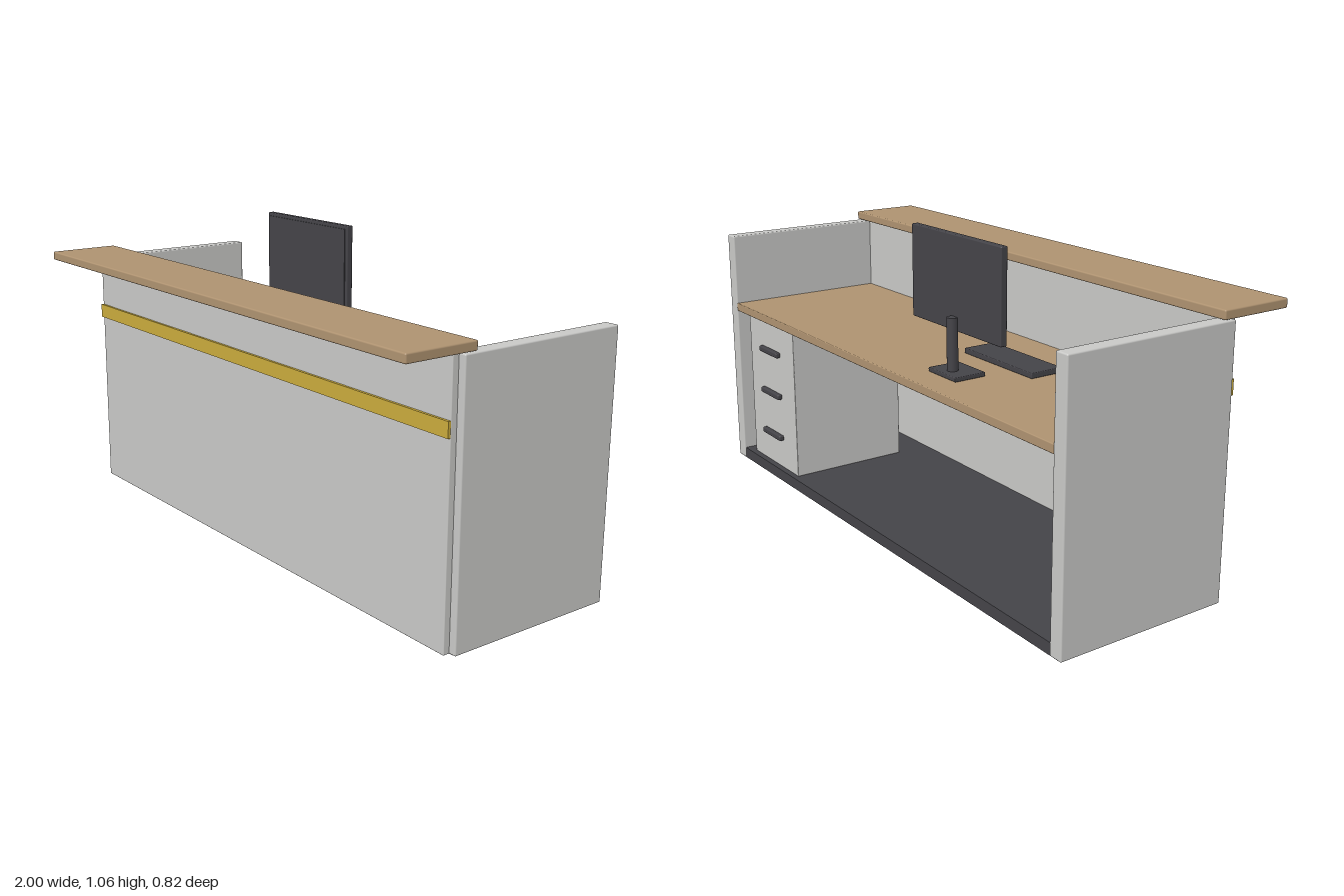
import * as THREE from 'three';
import { RoundedBoxGeometry } from 'three/addons/geometries/RoundedBoxGeometry.js';

const material = (name, color) => {
  const m = new THREE.MeshStandardMaterial({ color });
  m.name = name;
  return m;
};

export function createModel() {
  const grey = material('light grey laminate', 0xc8c8c6);
  const wood = material('wood', 0xae9270);
  const dark = material('charcoal', 0x444348);
  const gold = material('gold', 0xc9aa3c);

  const model = new THREE.Group();
  model.name = 'receptionDesk';

  const add = (name, geometry, mat, x, y, z, parent = model) => {
    const mesh = new THREE.Mesh(geometry, mat);
    mesh.name = name;
    mesh.position.set(x, y, z);
    parent.add(mesh);
    return mesh;
  };

  // Box given by its limits along each axis, with an optional softened edge
  const block = (name, mat, [x0, x1], [y0, y1], [z0, z1], radius = 0, parent = model) => {
    const size = [x1 - x0, y1 - y0, z1 - z0];
    const geometry = radius ? new RoundedBoxGeometry(...size, 2, radius) : new THREE.BoxGeometry(...size);
    return add(name, geometry, mat, (x0 + x1) / 2, (y0 + y1) / 2, (z0 + z1) / 2, parent);
  };

  // Carcass: floor plinth, two side panels, front panel with its gold strip
  block('basePlinth', dark, [-0.985, 0.985], [0, 0.04], [-0.405, 0.195]);
  block('leftSidePanel', grey, [0.95, 1], [0.002, 0.877], [-0.41, 0.2], 0.005);
  block('rightSidePanel', grey, [-1, -0.95], [0.002, 0.877], [-0.41, 0.2], 0.005);
  block('frontPanel', grey, [-0.975, 0.975], [0.002, 0.88], [0.18, 0.222], 0.003);
  block('goldStrip', gold, [-0.975, 0.975], [0.643, 0.692], [0.222, 0.231]);

  // Work surface and raised visitor counter
  block('workSurface', wood, [-0.95, 0.95], [0.593, 0.622], [-0.41, 0.18], 0.003);
  block('visitorCounter', wood, [-1, 1], [0.88, 0.91], [0.155, 0.41], 0.005);

  // Drawer cabinet with three bar handles
  const cabinet = new THREE.Group();
  cabinet.name = 'drawerCabinet';
  model.add(cabinet);
  block('cabinetBody', grey, [0.555, 0.9], [0.04, 0.593], [-0.385, 0.055], 0.003, cabinet);
  for (const y of [0.16, 0.32, 0.48]) {
    block('drawerHandle', dark, [0.658, 0.796], [y - 0.01, y + 0.01], [-0.403, -0.384], 0.005, cabinet);
  }

  // Monitor on its stand
  const monitor = new THREE.Group();
  monitor.name = 'monitor';
  model.add(monitor);
  block('monitorCase', dark, [-0.52, -0.05], [0.76, 1.058], [-0.263, -0.239], 0.004, monitor);
  block('monitorScreen', dark, [-0.508, -0.062], [0.772, 1.046], [-0.24, -0.236], 0, monitor);
  block('standFoot', dark, [-0.36, -0.213], [0.622, 0.636], [-0.313, -0.2], 0.003, monitor);
  add('standPole', new THREE.CylinderGeometry(0.018, 0.018, 0.17, 16), dark, -0.286, 0.72, -0.272, monitor);

  // Keyboard
  block('keyboard', dark, [-0.465, -0.11], [0.622, 0.64], [-0.103, 0.016], 0.003);

  return model;
}
